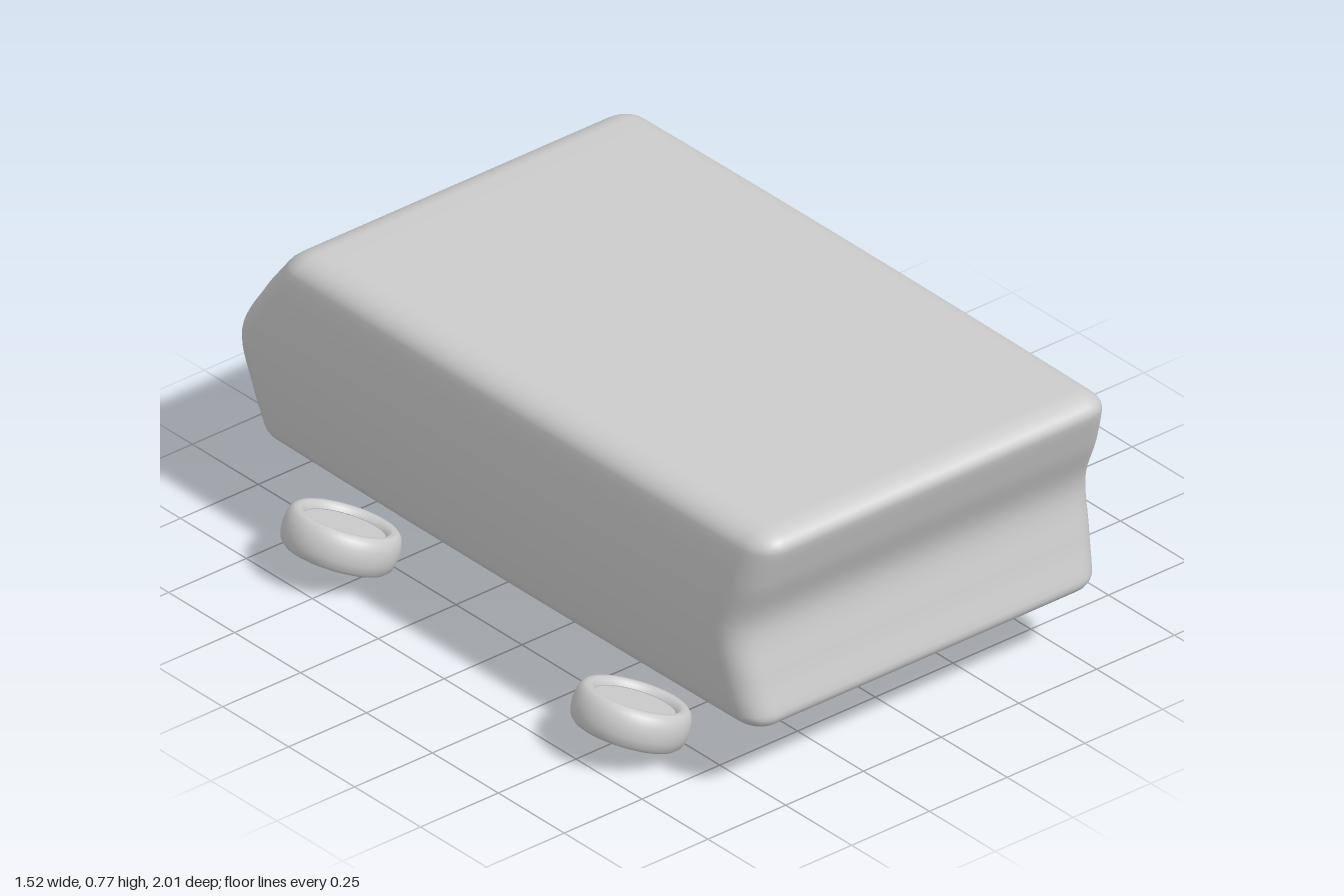
import * as THREE from 'three';
import { mergeVertices } from 'three/addons/utils/BufferGeometryUtils.js';

const grey = new THREE.MeshStandardMaterial({ color: 0xcccccc });

// Smooth curve through values spaced evenly from the underside to the roof
const profile = (values) => {
  const curve = new THREE.SplineCurve(values.map((v, i) => new THREE.Vector2(v, i)));
  return (t) => curve.getPoint(THREE.MathUtils.clamp(t, 0, 1)).x;
};
const noseZ = profile([0.975, 0.94, 0.918, 0.972, 1.015]);
const tailZ = profile([0.925, 0.965, 1.0, 0.92, 0.825]);

// Rounded box whose nose is pinched and whose tail is pointed
function bodyGeometry() {
  const bottom = 0.2, height = 0.58, halfWidth = 0.59;
  const half = [halfWidth, height / 2, 1];
  const radius = [0.075, 0.05, 0.08];
  let geo = new THREE.BoxGeometry(2, 2, 2, 32, 32, 32);
  geo.deleteAttribute('uv');
  geo.deleteAttribute('normal');
  geo = mergeVertices(geo, 1e-4);
  const pos = geo.attributes.position;
  const core = [0, 0, 0];
  const dir = new THREE.Vector3();
  for (let i = 0; i < pos.count; i++) {
    const off = [pos.getX(i), pos.getY(i), pos.getZ(i)].map((u, k) => {
      // the outer quarter of the grid goes to the rounded edge
      const inner = half[k] - radius[k];
      const a = Math.abs(u), s = Math.sign(u);
      core[k] = s * inner * Math.min(1, a / 0.75);
      return s * Math.max(0, (a - 0.75) / 0.25);
    });
    dir.fromArray(off).normalize();
    const p = core.map((c, k) => c + dir.getComponent(k) * radius[k]);
    const t = (p[1] + height / 2) / height;
    const bulge = 1 - 0.045 * (2 * t - 1) ** 2 - 0.012 * p[2] ** 2;
    const length = p[2] > 0 ? noseZ(t) : tailZ(t);
    pos.setXYZ(i, p[0] * bulge - 0.01, bottom + height * t, p[2] * length);
  }
  geo.computeVertexNormals();
  return geo;
}

// Rounded tyre with a recessed hub disc
function makeWheel(name) {
  const wheel = new THREE.Group();
  wheel.name = name;
  const ring = [
    [0.104, -0.034], [0.108, -0.044], [0.118, -0.051], [0.132, -0.05], [0.143, -0.04],
    [0.149, -0.02], [0.151, 0], [0.149, 0.02], [0.143, 0.04], [0.132, 0.05],
    [0.118, 0.051], [0.108, 0.044], [0.104, 0.034],
  ].map(([r, y]) => new THREE.Vector2(r, y));
  const tyre = new THREE.Mesh(new THREE.LatheGeometry(ring, 48), grey);
  tyre.name = 'tyre';
  const hub = new THREE.Mesh(new THREE.CylinderGeometry(0.105, 0.105, 0.064, 48), grey);
  hub.name = 'hub';
  wheel.add(tyre, hub);
  return wheel;
}

export function createModel() {
  const model = new THREE.Group();
  model.name = 'van';

  const body = new THREE.Mesh(bodyGeometry(), grey);
  body.name = 'body';
  model.add(body);

  // Splayed wheels, the left pair leaning a little more
  for (const [side, x, y, tilt] of [['left', 0.614, 0.11, 0.46], ['right', -0.615, 0.105, -0.38]]) {
    for (const [end, z] of [['front', 0.55], ['back', -0.55]]) {
      const wheel = makeWheel(`${end}Wheel ${side}`);
      wheel.position.set(x, y, z);
      wheel.rotation.z = tilt;
      model.add(wheel);
    }
  }
  return model;
}
